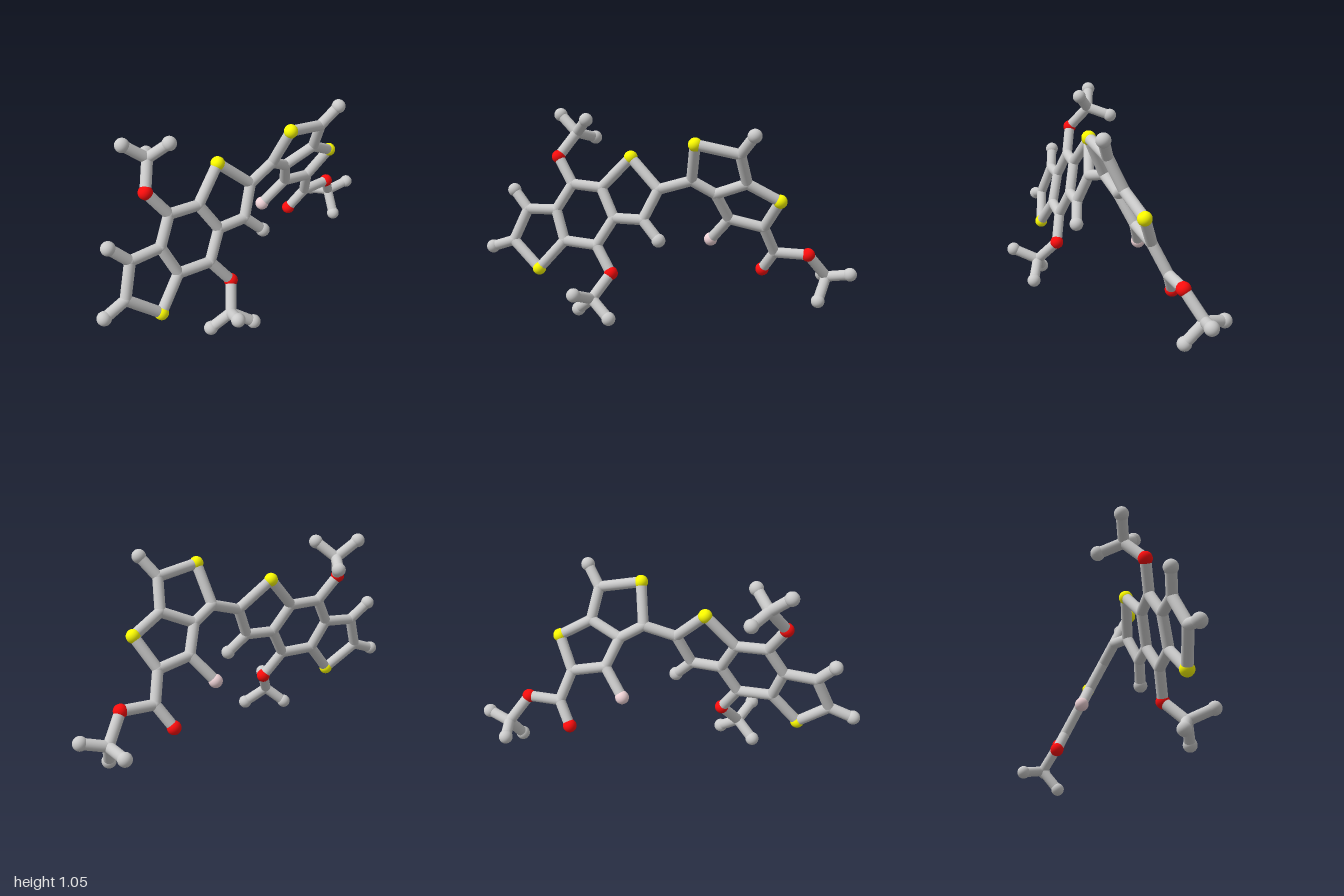
import * as THREE from 'three';

const BALL = 0.036, ROD = 0.028;
const grey = new THREE.MeshStandardMaterial({ color: 0xcccccc });
const yellow = new THREE.MeshStandardMaterial({ color: 0xffff00 });
const red = new THREE.MeshStandardMaterial({ color: 0xff0d0d });
const pink = new THREE.MeshStandardMaterial({ color: 0xf0d4d8 });

// Each flat ring system lies in a tilted plane that gives z from x and y
const leftPlane = (x, y) => -0.01 + 0.203 * (x + 0.438) - 0.297 * (y - 0.52);
const rightPlane = (x, y) => 0.122 + 0.148 * (x - 0.16) + 0.466 * (y - 0.925);

// kind: C carbon, H hydrogen, S sulfur, O oxygen, F fluorine
const kinds = {
  C: { name: 'carbonJoint', radius: ROD * 1.03, material: grey },
  H: { name: 'hydrogenBall', radius: BALL, material: grey },
  S: { name: 'sulfurBall', radius: BALL, material: yellow },
  O: { name: 'oxygenBall', radius: BALL, material: red },
  F: { name: 'fluorineBall', radius: BALL, material: pink },
};

// Fused three-ring system with its flat substituents
const leftAtoms = {
  S1: [-0.684, 0.222], C2: [-0.84, 0.353], C3: [-0.765, 0.522], C4: [-0.6, 0.53],
  C5: [-0.513, 0.668], C6: [-0.35, 0.66], C7: [-0.273, 0.512], C8: [-0.364, 0.368],
  C9: [-0.545, 0.376], S10: [-0.193, 0.822], C11: [-0.037, 0.672], C12: [-0.116, 0.515],
  H2: [-0.963, 0.31], H3: [-0.85, 0.615], H12: [-0.027, 0.42],
  O5: [-0.6, 0.803], O8: [-0.277, 0.235],
};
// Fused two-ring system with its ester arm
const rightAtoms = {
  C21: [0.134, 0.722], S22: [0.16, 0.925], C23: [0.385, 0.882], C24: [0.42, 0.722],
  C25: [0.257, 0.652], S26: [0.588, 0.631], C27: [0.508, 0.47], C28: [0.326, 0.508],
  H23: [0.455, 0.984], F28: [0.225, 0.374], C29: [0.567, 0.32],
  O30: [0.503, 0.205], O31: [0.743, 0.32],
};
// Three methyl groups, out of plane
const methylAtoms = {
  C40: [-0.513, 0.924, -0.2], H41: [-0.613, 1.012, -0.254],
  H42: [-0.443, 1.005, -0.116], H43: [-0.433, 0.885, -0.302],
  C50: [-0.364, 0.118, 0.188], H51: [-0.265, 0.038, 0.254],
  H52: [-0.449, 0.038, 0.128], H53: [-0.433, 0.175, 0.304],
  C60: [0.845, 0.187, -0.13], H61: [0.965, 0.217, -0.083],
  H62: [0.802, 0.074, -0.05], H63: [0.829, 0.16, -0.25],
};

// Chains of bonded atoms
const chains = [
  'S1 C2 C3 C4 C5 C6 C7 C8 C9 S1', 'C4 C9', 'C6 S10 C11 C12 C7',
  'C2 H2', 'C3 H3', 'C12 H12', 'C5 O5 C40', 'C8 O8 C50',
  'C11 C21 S22 C23 C24 C25 C21', 'C24 S26 C27 C28 C25', 'C23 H23', 'C28 F28',
  'C27 C29 O31 C60', 'C29 O30',
  'H41 C40 H42', 'C40 H43', 'H51 C50 H52', 'C50 H53', 'H61 C60 H62', 'C60 H63',
];

export function createModel() {
  const model = new THREE.Group();
  model.name = 'moleculeModel';
  const atoms = new THREE.Group(), bonds = new THREE.Group();
  atoms.name = 'atoms';
  bonds.name = 'bonds';
  model.add(atoms, bonds);

  const points = {};
  const place = (set, plane) => {
    for (const [id, [x, y, z]] of Object.entries(set)) {
      points[id] = new THREE.Vector3(x, y, plane ? plane(x, y) : z);
    }
  };
  place(leftAtoms, leftPlane);
  place(rightAtoms, rightPlane);
  place(methylAtoms);

  // Atom balls
  const sphere = new THREE.SphereGeometry(1, 32, 20);
  for (const [id, p] of Object.entries(points)) {
    const kind = kinds[id[0]];
    const ball = new THREE.Mesh(sphere, kind.material);
    ball.name = kind.name;
    ball.position.copy(p);
    ball.scale.setScalar(kind.radius);
    atoms.add(ball);
  }

  // Bond rods
  const rod = new THREE.CylinderGeometry(ROD, ROD, 1, 24, 1, true);
  const up = new THREE.Vector3(0, 1, 0);
  for (const chain of chains) {
    const ids = chain.split(' ');
    for (let i = 1; i < ids.length; i++) {
      const a = points[ids[i - 1]], b = points[ids[i]];
      const dir = b.clone().sub(a);
      const mesh = new THREE.Mesh(rod, grey);
      mesh.name = 'bondRod';
      mesh.position.copy(a).lerp(b, 0.5);
      mesh.scale.y = dir.length();
      mesh.quaternion.setFromUnitVectors(up, dir.normalize());
      bonds.add(mesh);
    }
  }
  return model;
}
